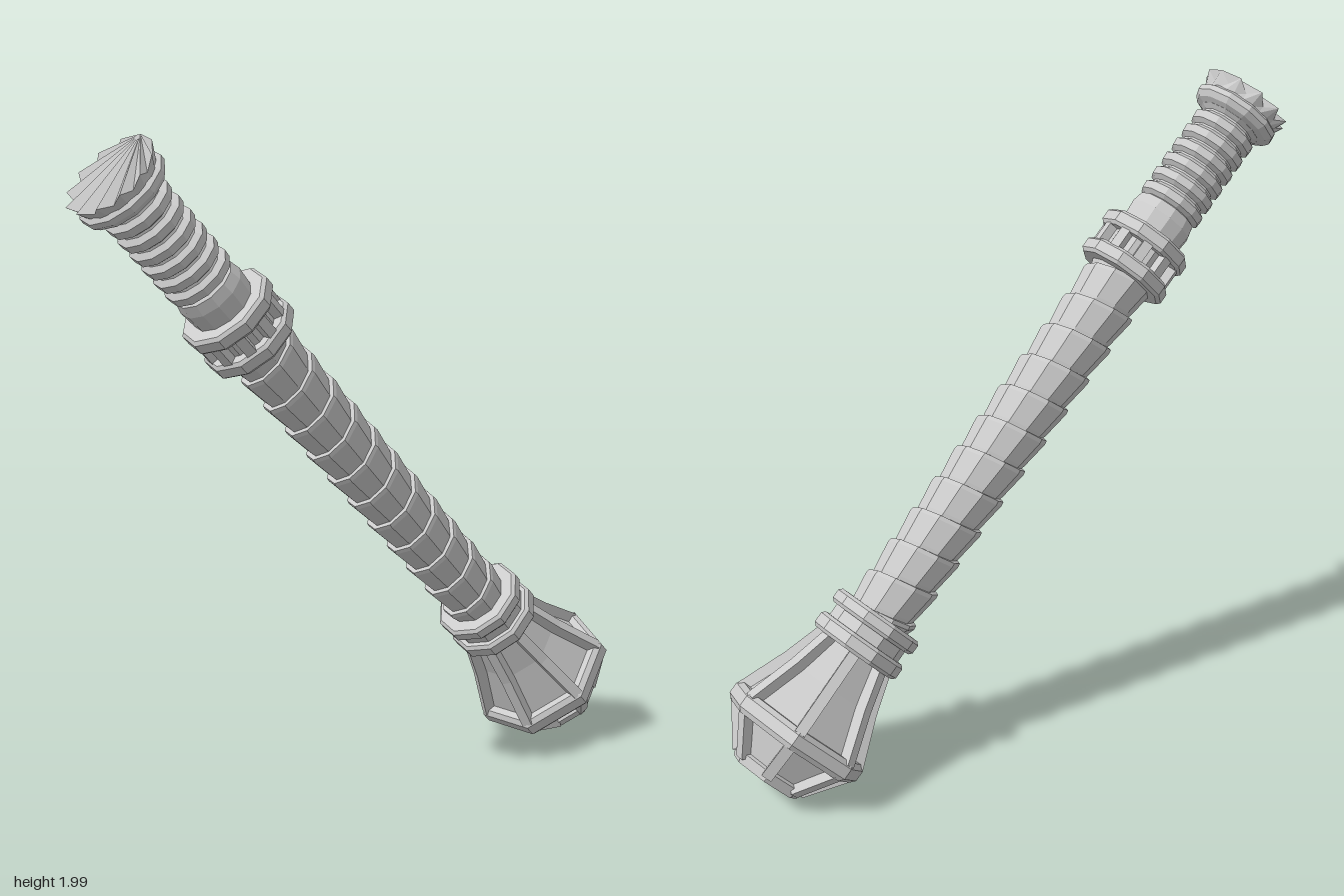
import * as THREE from 'three';

const material = new THREE.MeshStandardMaterial({ color: 0xcccccc, flatShading: true });
const thin = new THREE.MeshStandardMaterial({ color: 0xcccccc, flatShading: true, side: THREE.DoubleSide });

// Faceted turned part; profile is [radius, height] from bottom to top, first corner on +x
function turned(name, profile, sides) {
  const points = profile.map(([r, y]) => new THREE.Vector2(r, y));
  const mesh = new THREE.Mesh(new THREE.LatheGeometry(points, sides, Math.PI / 2), material);
  mesh.name = name;
  return mesh;
}

// Bevelled polygonal ring around the shaft
function ring(name, r, y0, y1, sides, bevel = 0.01) {
  return turned(name, [[0.085, y0], [r - bevel, y0], [r, y0 + bevel],
    [r, y1 - bevel], [r - bevel, y1], [0.085, y1]], sides);
}

// Bar from (r0, y0) to (r1, y1) in the radial plane at angle a
function rib(name, a, r0, y0, r1, y1, width, depth) {
  const pivot = new THREE.Group();
  const length = Math.hypot(r1 - r0, y1 - y0);
  const bar = new THREE.Mesh(new THREE.BoxGeometry(depth, length + 0.015, width), material);
  bar.position.set((r0 + r1) / 2, (y0 + y1) / 2, 0);
  bar.rotation.z = -Math.atan2(r1 - r0, y1 - y0);
  pivot.rotation.y = a;
  pivot.name = name;
  pivot.add(bar);
  return pivot;
}

// Indexed surface from a flat list of positions
function surface(name, positions, index) {
  const geometry = new THREE.BufferGeometry();
  geometry.setAttribute('position', new THREE.Float32BufferAttribute(positions, 3));
  geometry.setIndex(index);
  geometry.computeVertexNormals();
  const mesh = new THREE.Mesh(geometry, thin);
  mesh.name = name;
  return mesh;
}

// Overlapping strap wound in a helix, with a stepped edge at every turn
function wrap(name, bottom, top, pitch, sides) {
  const rows = [];
  for (let u = bottom - pitch; u < top + pitch * 2; u += pitch) {
    rows.push([u, 0.094], [u + 0.012, 0.097], [u + pitch * 0.88, 0.11], [u + pitch * 0.995, 0.108]);
  }
  const positions = [], index = [];
  rows.forEach(([u, r], j) => {
    for (let i = 0; i <= sides; i++) {
      const a = (i / sides) * Math.PI * 2;
      const y = THREE.MathUtils.clamp(u - (pitch * i) / sides, bottom, top);
      positions.push(r * Math.cos(a), y, r * Math.sin(a));
      if (j > 0 && i < sides) {
        const p = (j - 1) * (sides + 1) + i, q = p + sides + 1;
        index.push(p, q, p + 1, p + 1, q, q + 1);
      }
    }
  });
  return surface(name, positions, index);
}

// Zigzag crown: a flared skirt with a pleated lid folded from one rim point
function crown(teeth) {
  const n = teeth * 2, positions = [], index = [];
  for (let i = 0; i < n; i++) {
    const a = (i / n) * Math.PI * 2, peak = i % 2 === 0;
    const r = peak ? 0.15 : 0.128, y = peak ? 1.264 : 1.238;
    positions.push(0.125 * Math.cos(a), 1.215, 0.125 * Math.sin(a));
    positions.push(r * Math.cos(a), y, r * Math.sin(a));
    const p = i * 2, q = ((i + 1) % n) * 2;
    index.push(p, p + 1, q, q, p + 1, q + 1);
    if (i > 0 && i < n - 1) index.push(1, q + 1, p + 1);
  }
  return surface('crownTeeth', positions, index);
}

function grip() {
  const profile = [[0.1, 0.72], [0.106, 0.79], [0.098, 0.825]];
  for (let i = 0; i < 7; i++) {
    const y = 0.83 + i * 0.055;
    profile.push([0.088, y], [0.106, y + 0.01], [0.108, y + 0.035], [0.09, y + 0.048]);
  }
  profile.push([0.09, 1.22]);
  return turned('ribbedGrip', profile, 12);
}

// Pierced collar: two rings joined by short posts
function collar() {
  const group = new THREE.Group();
  group.name = 'collar';
  group.add(ring('collarLowerRing', 0.15, 0.57, 0.622, 10),
    ring('collarUpperRing', 0.15, 0.678, 0.73, 10),
    turned('collarCore', [[0.112, 0.6], [0.112, 0.7]], 10));
  for (let i = 0; i < 10; i++) {
    group.add(rib('collarPost', ((i + 0.5) / 10) * Math.PI * 2, 0.122, 0.615, 0.122, 0.685, 0.032, 0.028));
  }
  return group;
}

// Seven-sided flared head with inset panels, corner ribs and a belt
function head() {
  const sides = 7, group = new THREE.Group();
  group.name = 'head';
  group.add(turned('headPanels', [[0.1, -1.28], [0.115, -1.26], [0.205, -1.14], [0.205, -1.11],
    [0.142, -0.96], [0.105, -0.83]], sides));
  group.add(turned('headBelt', [[0.19, -1.165], [0.225, -1.165], [0.24, -1.15], [0.24, -1.115],
    [0.225, -1.1], [0.19, -1.1]], sides));
  group.add(turned('endCap', [[0, -1.292], [0.118, -1.292], [0.132, -1.26], [0.11, -1.245]], sides));
  for (let i = 0; i < sides; i++) {
    const a = (i / sides) * Math.PI * 2;
    group.add(rib('upperRib', a, 0.153, -0.96, 0.113, -0.835, 0.034, 0.035),
      rib('upperRib', a, 0.214, -1.11, 0.153, -0.96, 0.034, 0.035),
      rib('lowerRib', a, 0.12, -1.265, 0.215, -1.145, 0.034, 0.03));
  }
  return group;
}

export function createModel() {
  const model = new THREE.Group();
  model.name = 'hilt';
  const hilt = new THREE.Group();
  hilt.name = 'tiltedHilt';
  hilt.position.set(0, 1, -0.011);
  hilt.rotation.z = Math.PI / 4;
  model.add(hilt);

  hilt.add(wrap('wrappedShaft', -0.71, 0.59, 0.115, 10), grip(), collar(), head(), crown(12));
  hilt.add(turned('crownBase', [[0.09, 1.165], [0.128, 1.178], [0.142, 1.195], [0.142, 1.212], [0.12, 1.228]], 12));
  hilt.add(ring('neckUpperRing', 0.148, -0.748, -0.7, 10),
    ring('neckWaist', 0.126, -0.8, -0.73, 10),
    ring('neckLowerRing', 0.15, -0.838, -0.785, 10));
  return model;
}
